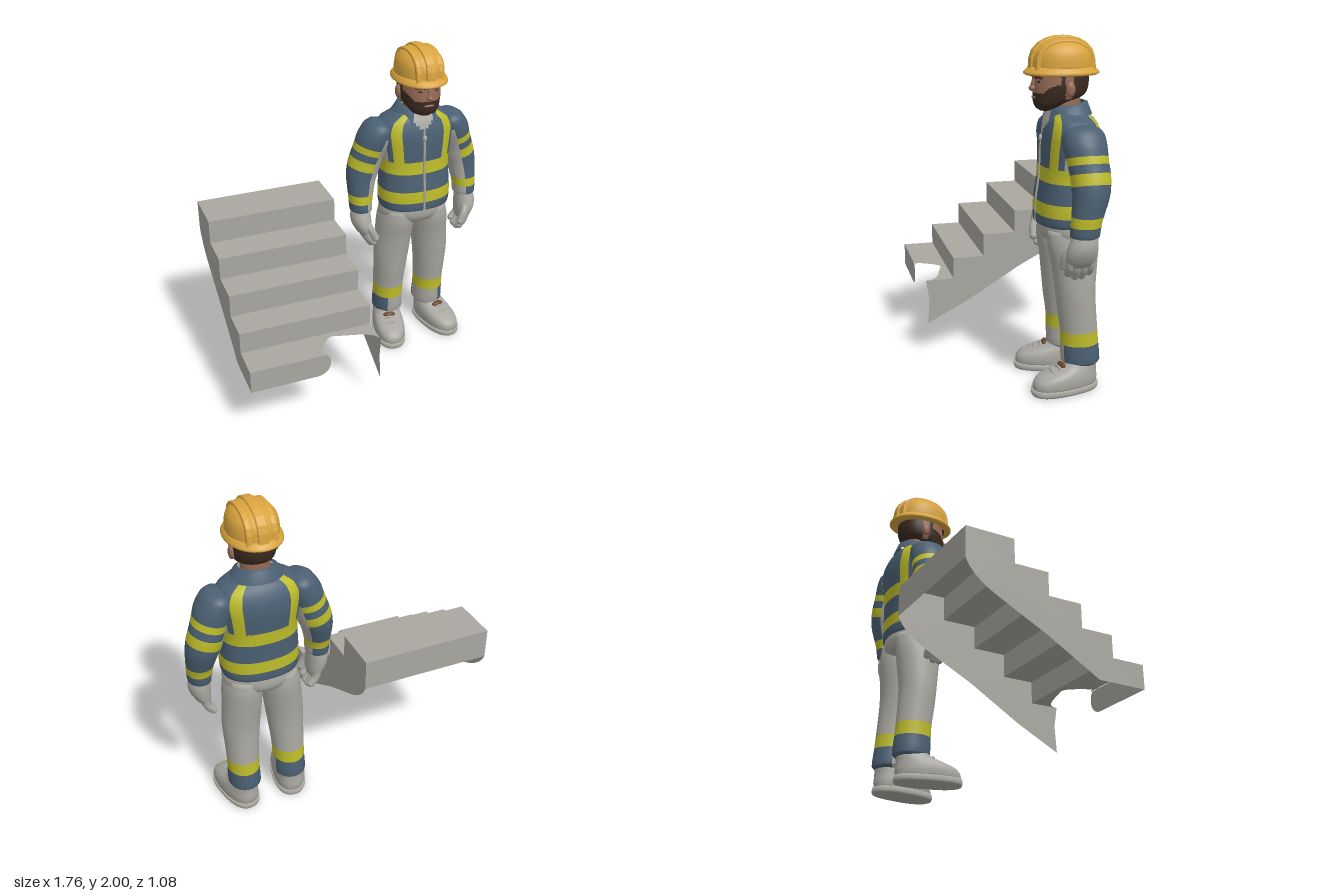
import * as THREE from 'three';

const mat = (name, color) => new THREE.MeshStandardMaterial({ name, color, side: THREE.DoubleSide });

export function createModel() {
  const M = {
    grey: mat('pale grey', 0xa9a7a0), blue: mat('work blue', 0x4b6073), lime: mat('reflective lime', 0xbdbc2a),
    gold: mat('helmet gold', 0xd9a43e), skin: mat('skin', 0x966a55), hair: mat('dark hair', 0x3b2a21),
    brown: mat('lace brown', 0x6b4527),
  };
  const model = new THREE.Group();
  model.name = 'workerAndStairs';
  const add = (parent, name, geo, m, x = 0, y = 0, z = 0) => {
    const mesh = new THREE.Mesh(geo, m);
    mesh.name = name;
    mesh.position.set(x, y, z);
    parent.add(mesh);
    return mesh;
  };

  // Stacked oval rings [y, cx, cz, rx, rz, tilt], lowest first; paint(p, cos, sin) picks a colour per face
  function loft(parent, name, rings, paint, { seg = 48, sub = 3, pow = 1, s = 1 } = {}) {
    const rows = [], at = (i, k) => rings[Math.min(Math.max(i, 0), rings.length - 1)][k] ?? 0;
    for (let i = 0; i < rings.length; i++) {
      for (let j = 0; j < (i < rings.length - 1 ? sub : 1); j++) {
        const t = j / sub;
        rows.push([0, 1, 2, 3, 4, 5].map((k) => {
          const [a, b, c, d] = [at(i - 1, k), at(i, k), at(i + 1, k), at(i + 2, k)];
          if (k === 0) return b + (c - b) * t;
          return b + 0.5 * t * (c - a + t * (2 * a - 5 * b + 4 * c - d + t * (3 * (b - c) + d - a)));
        }));
      }
    }
    const cap = (r) => [r[0], r[1], r[2], 0.0005, 0.0005, 0];
    rows.unshift(cap(rows[0]));
    rows.push(cap(rows[rows.length - 1]));
    const pos = [], bend = (v) => Math.sign(v) * Math.abs(v) ** pow;
    for (const [y, cx, cz, rx, rz, tilt] of rows) {
      for (let i = 0; i < seg; i++) {
        const a = (i / seg) * Math.PI * 2, dx = rx * bend(Math.cos(a));
        pos.push(cx * s + dx, y + tilt * dx * s, cz + rz * bend(Math.sin(a)));
      }
    }
    const buckets = new Map();
    for (let j = 0; j < rows.length - 1; j++) {
      for (let i = 0; i < seg; i++) {
        const n = (i + 1) % seg, a = j * seg + i, b = j * seg + n, c = a + seg, d = b + seg;
        const ang = ((i + 0.5) / seg) * Math.PI * 2;
        const p = { x: (pos[a * 3] + pos[d * 3]) / 2, y: (rows[j][0] + rows[j + 1][0]) / 2, z: (pos[a * 3 + 2] + pos[d * 3 + 2]) / 2 };
        const m = typeof paint === 'function' ? paint(p, Math.cos(ang) * s, Math.sin(ang)) : paint;
        if (!buckets.has(m)) buckets.set(m, []);
        buckets.get(m).push(a, c, b, b, c, d);
      }
    }
    const geo = new THREE.BufferGeometry(), index = [], mats = [...buckets.keys()];
    geo.setAttribute('position', new THREE.Float32BufferAttribute(pos, 3));
    mats.forEach((m, k) => {
      geo.addGroup(index.length, buckets.get(m).length, k);
      for (const v of buckets.get(m)) index.push(v);
    });
    geo.setIndex(index);
    geo.computeVertexNormals();
    return add(parent, name, geo, mats.length > 1 ? mats : mats[0]);
  }
  const tube = (parent, name, pts, r, m) => add(parent, name, new THREE.TubeGeometry(
    new THREE.CatmullRomCurve3(pts.map((p) => new THREE.Vector3(...p))), 16, r, 10), m);
  const ball = (parent, name, m, x, y, z, a, b, c) => {
    const mesh = add(parent, name, new THREE.SphereGeometry(1, 20, 14), m, x, y, z);
    mesh.scale.set(a, b, c);
    return mesh;
  };
  const between = (v, lo, hi) => v > lo && v < hi;

  // ---- Stairs: thin shell, open underneath ----
  const stairs = new THREE.Group();
  stairs.name = 'stairs';
  model.add(stairs);
  const x0 = -0.855, x1 = -0.055, mid = (x0 + x1) / 2, width = x1 - x0;
  const zs = [0.54, 0.345, 0.155, -0.045, -0.25, -0.54], ys = [0.48, 0.612, 0.752, 0.89, 1.035];
  const sheet = (name, w, h, y, z, flat) => {
    const g = new THREE.PlaneGeometry(w, h);
    if (flat) g.rotateX(-Math.PI / 2);
    add(stairs, name, g, M.grey, mid, y, z);
  };
  for (let i = 1; i < 5; i++) {
    sheet('tread', width, zs[i] - zs[i + 1], ys[i], (zs[i] + zs[i + 1]) / 2, true);
    sheet('riser', width, ys[i] - ys[i - 1], (ys[i] + ys[i - 1]) / 2, zs[i]);
  }
  sheet('backPanel', width, 0.185, 0.9425, -0.54);
  // Lowest tread and riser are partly cut away
  const bite = new THREE.Shape();
  bite.moveTo(x0, 0.345); bite.lineTo(x1, 0.345); bite.lineTo(x1, 0.515);
  bite.bezierCurveTo(-0.06, 0.43, -0.2, 0.42, -0.30, 0.385);
  bite.bezierCurveTo(-0.35, 0.37, -0.39, 0.46, -0.42, 0.52);
  bite.lineTo(-0.38, 0.535); bite.lineTo(x0, 0.54);
  add(stairs, 'lowestTread', new THREE.ShapeGeometry(bite).rotateX(Math.PI / 2), M.grey, 0, 0.48, 0);
  const lip = new THREE.Shape();
  lip.moveTo(x0, 0.34); lip.lineTo(-0.45, 0.34);
  lip.bezierCurveTo(-0.36, 0.35, -0.36, 0.46, -0.40, 0.48); lip.lineTo(x0, 0.48);
  add(stairs, 'lowestRiser', new THREE.ShapeGeometry(lip), M.grey, 0, 0, 0.54);
  // Stepped side panels
  for (const [x, foot] of [[x0, [[0.25, 0.34], [0.54, 0.34], [0.54, 0.48]]], [x1, [[0.25, 0.335], [0.51, 0.2], [0.5, 0.36], [0.52, 0.48]]]]) {
    const sh = new THREE.Shape();
    sh.moveTo(-0.54, 1.035); sh.lineTo(-0.54, 0.85);
    sh.quadraticCurveTo(-0.5, 0.75, -0.34, 0.67);
    sh.lineTo(-0.07, 0.53);
    for (const p of foot) sh.lineTo(...p);
    for (let i = 1; i < 5; i++) { sh.lineTo(zs[i], ys[i - 1]); sh.lineTo(zs[i], ys[i]); }
    add(stairs, 'sidePanel', new THREE.ShapeGeometry(sh).rotateY(-Math.PI / 2), M.grey, x, 0, 0);
  }

  // ---- Worker ----
  const man = new THREE.Group();
  man.name = 'worker';
  man.position.x = 0.465;
  model.add(man);

  loft(man, 'trouserHips', [[0.84, 0, -0.215, 0.1, 0.08], [0.87, 0, -0.215, 0.19, 0.14], [0.92, 0, -0.213, 0.228, 0.16],
    [0.99, 0, -0.21, 0.215, 0.155]], M.grey);
  loft(man, 'jacket', [[0.955, 0, -0.205, 0.2, 0.15], [0.965, 0, -0.203, 0.224, 0.17], [1.02, 0, -0.203, 0.231, 0.172],
    [1.095, 0, -0.205, 0.229, 0.17], [1.21, 0, -0.213, 0.222, 0.163], [1.29, 0, -0.218, 0.226, 0.163],
    [1.4, 0, -0.224, 0.242, 0.167], [1.48, 0, -0.224, 0.25, 0.158], [1.54, 0, -0.22, 0.22, 0.137],
    [1.58, 0, -0.21, 0.15, 0.11], [1.61, 0, -0.2, 0.095, 0.09]], (p, c, sn) => {
    const side = Math.atan2(Math.abs(sn), Math.abs(c)) * 180 / Math.PI;
    if (between(p.y, 1.02, 1.095) || between(p.y, 1.21, 1.29)) return M.lime;
    if (p.y > 1.29 && between(side, 40, 60)) return M.lime;
    if (between(p.y, 1.29, 1.46) && side < 28) return M.grey;
    return p.y > 1.49 && sn > 0 && Math.abs(p.x) < (p.y - 1.47) * 0.8 ? M.grey : M.blue;
  }, { seg: 144, pow: 0.86 });
  tube(man, 'zip', [[0, 0.965, -0.033], [0, 1.1, -0.035], [0, 1.25, -0.053], [0, 1.4, -0.058], [0, 1.5, -0.073]], 0.008, M.grey);
  ball(man, 'zipPull', M.grey, 0, 1.44, -0.058, 0.014, 0.022, 0.012);

  // Collar, open at the front with drooping points
  const collarPos = [], collarIdx = [], n = 40;
  for (let i = 0; i <= n; i++) {
    const a = 0.5 + (i / n) * (Math.PI * 2 - 1), f = (1 + Math.cos(a)) / 2;
    for (const [rx, rz, y] of [[0.096, 0.1, 1.645 - 0.03 * f], [0.12, 0.118, 1.64 - 0.045 * f], [0.165 - 0.02 * f, 0.142, 1.575 - 0.06 * f ** 3]])
      collarPos.push(Math.sin(a) * rx, y, -0.203 + Math.cos(a) * rz);
    if (i < n) for (let k = 0; k < 2; k++) {
      const p = i * 3 + k;
      collarIdx.push(p, p + 1, p + 3, p + 3, p + 1, p + 4);
    }
  }
  const collar = new THREE.BufferGeometry();
  collar.setAttribute('position', new THREE.Float32BufferAttribute(collarPos, 3));
  collar.setIndex(collarIdx);
  collar.computeVertexNormals();
  add(man, 'collar', collar, M.blue);

  for (const s of [1, -1]) {
    const side = s > 0 ? 'left' : 'right';
    // Sleeve with grey inner side and reflective bands
    loft(man, side + 'Sleeve', [[0.955, 0.36, -0.205, 0.055, 0.06], [0.965, 0.36, -0.205, 0.069, 0.08], [1.02, 0.36, -0.21, 0.073, 0.083],
      [1.075, 0.356, -0.22, 0.079, 0.088], [1.17, 0.345, -0.24, 0.092, 0.1, 0.12], [1.23, 0.33, -0.245, 0.096, 0.107, 0.28],
      [1.29, 0.312, -0.245, 0.095, 0.11, 0.3], [1.335, 0.297, -0.24, 0.094, 0.112, 0.3], [1.375, 0.283, -0.235, 0.095, 0.115, 0.3],
      [1.43, 0.262, -0.23, 0.097, 0.12, 0.3], [1.49, 0.236, -0.228, 0.085, 0.115, 0.3], [1.52, 0.22, -0.228, 0.063, 0.09, 0.3],
      [1.535, 0.21, -0.228, 0.03, 0.04, 0.3]], (p, c, sn) => {
      if (between(p.y, 1.02, 1.075)) return M.lime;
      if (p.y < 1.45 && c < -0.3 && sn > -0.75) return M.grey;
      return between(p.y, 1.23, 1.29) || between(p.y, 1.335, 1.375) ? M.lime : M.blue;
    }, { s });
    // Glove
    loft(man, side + 'Glove', [[0.79, 0.338, -0.188, 0.03, 0.06], [0.82, 0.348, -0.188, 0.046, 0.08], [0.87, 0.36, -0.19, 0.06, 0.086],
      [0.92, 0.365, -0.197, 0.063, 0.08], [0.98, 0.36, -0.205, 0.055, 0.065]], M.grey, { s, seg: 32 });
    for (let i = 0; i < 4; i++) {
      const z = -0.247 + i * 0.039, drop = i === 0 || i === 3 ? 0.02 : 0;
      tube(man, side + 'Finger', [[s * 0.352, 0.85, z], [s * 0.338, 0.78 + drop / 2, z], [s * 0.305, 0.73 + drop, z]], 0.024, M.grey);
      ball(man, side + 'Fingertip', M.grey, s * 0.305, 0.73 + drop, z, 0.024, 0.024, 0.024);
    }
    tube(man, side + 'Thumb', [[s * 0.355, 0.9, -0.15], [s * 0.325, 0.845, -0.112], [s * 0.3, 0.79, -0.105]], 0.025, M.grey);
    ball(man, side + 'Thumbtip', M.grey, s * 0.3, 0.79, -0.105, 0.025, 0.025, 0.025);

    // Trouser leg with banded cuff
    loft(man, side + 'TrouserLeg', [[0.15, 0.147, -0.262, 0.085, 0.095], [0.17, 0.147, -0.262, 0.098, 0.113], [0.275, 0.147, -0.255, 0.096, 0.11],
      [0.355, 0.146, -0.25, 0.098, 0.108], [0.48, 0.143, -0.236, 0.105, 0.112], [0.6, 0.138, -0.227, 0.114, 0.116],
      [0.75, 0.125, -0.224, 0.117, 0.132], [0.86, 0.117, -0.218, 0.114, 0.147], [0.94, 0.112, -0.215, 0.1, 0.14]], (p, c, sn) => {
      if (between(p.y, 0.275, 0.355)) return M.lime;
      return p.y < 0.275 && (c > 0.35 || sn < -0.3) ? M.blue : M.grey;
    }, { s });

    // Boot, toes turned out
    const boot = new THREE.Group();
    boot.name = side + 'Boot';
    boot.position.set(s * 0.155, 0, -0.26);
    boot.rotation.y = s * 0.2;
    man.add(boot);
    loft(boot, side + 'Sole', [[0, 0, 0.1, 0.096, 0.2], [0.012, 0, 0.1, 0.103, 0.205], [0.038, 0, 0.1, 0.102, 0.203]], M.grey, { pow: 0.8, sub: 1 });
    loft(boot, side + 'BootUpper', [[0.035, 0, 0.1, 0.096, 0.195], [0.07, 0, 0.097, 0.1, 0.195], [0.1, 0, 0.085, 0.098, 0.18],
      [0.125, 0, 0.056, 0.092, 0.149], [0.145, 0, 0.025, 0.085, 0.118], [0.17, 0, 0.005, 0.077, 0.098], [0.2, 0, 0, 0.07, 0.085]], M.grey, { pow: 0.85 });
    ball(boot, side + 'BootTongue', M.brown, 0, 0.15, 0.118, 0.042, 0.02, 0.02);
    for (const [y, z] of [[0.15, 0.145], [0.134, 0.185]])
      tube(boot, side + 'Lace', [[-0.055, y - 0.02, z - 0.01], [0, y, z], [0.055, y - 0.02, z - 0.01]], 0.008, M.grey);
  }

  // ---- Head ----
  add(man, 'neck', new THREE.CylinderGeometry(0.08, 0.086, 0.17, 28), M.skin, 0, 1.595, -0.2);
  loft(man, 'head', [[1.595, 0, -0.08, 0.035, 0.03], [1.61, 0, -0.088, 0.07, 0.058], [1.64, 0, -0.109, 0.096, 0.091],
    [1.67, 0, -0.15, 0.112, 0.135], [1.7, 0, -0.165, 0.12, 0.15], [1.75, 0, -0.172, 0.123, 0.153], [1.85, 0, -0.175, 0.118, 0.145]],
  (p) => {
    if (p.z < -0.205 || between(p.z, -0.165, -0.135)) return M.hair;
    if (p.z < -0.165) return p.y < 1.66 ? M.hair : M.skin;
    return p.y < 1.697 + Math.max(0, Math.abs(p.x) - 0.08) * 1.2 ? M.hair : M.skin;
  }, { seg: 96, sub: 6, pow: 0.92 });
  ball(man, 'nose', M.skin, 0, 1.718, -0.014, 0.02, 0.018, 0.025);
  tube(man, 'noseBridge', [[0, 1.775, -0.022], [0, 1.745, -0.014], [0, 1.72, -0.005]], 0.012, M.skin);
  ball(man, 'mouth', M.skin, 0, 1.668, -0.016, 0.034, 0.007, 0.008);
  for (const s of [1, -1]) {
    ball(man, 'eye', M.hair, s * 0.05, 1.757, -0.032, 0.015, 0.007, 0.007);
    tube(man, 'eyebrow', [[s * 0.024, 1.776, -0.019], [s * 0.05, 1.782, -0.027], [s * 0.078, 1.776, -0.046]], 0.007, M.hair);
    ball(man, 'ear', M.skin, s * 0.126, 1.72, -0.188, 0.017, 0.042, 0.027);
  }

  // ---- Hard hat: brim, dome and three crests ----
  loft(man, 'helmetBrim', [[1.79, 0, -0.173, 0.15, 0.2], [1.797, 0, -0.173, 0.16, 0.212], [1.812, 0, -0.173, 0.157, 0.205],
    [1.835, 0, -0.174, 0.142, 0.18]], M.gold, { sub: 2, pow: 0.95 });
  const dome = [[1.82, 0.144, 0.178], [1.88, 0.141, 0.174], [1.92, 0.131, 0.16], [1.955, 0.105, 0.128], [1.978, 0.07, 0.085], [1.988, 0.035, 0.042], [1.99, 0.01, 0.012]];
  loft(man, 'helmetDome', dome.map(([y, rx, rz]) => [y, 0, -0.175, rx, rz]), M.gold, { pow: 0.96 });
  for (const [x, w, k] of [[0, 0.036, 1.01], [0.07, 0.012, 0.91], [-0.07, 0.012, 0.91]]) {
    const pts = [...dome.map(([y, , r]) => [r, y]), ...dome.map(([y, , r]) => [-r, y]).reverse()];
    const sh = new THREE.Shape(pts.map(([z, y]) => new THREE.Vector2(z * k, (y - 1.82) * k)));
    const g = new THREE.ExtrudeGeometry(sh, { depth: w, bevelThickness: 0.012, bevelSize: 0.008, bevelOffset: 0, bevelSegments: 3 });
    g.translate(0, 0, -w / 2).rotateY(-Math.PI / 2);
    add(man, 'helmetCrest', g, M.gold, x, 1.82, -0.175);
  }
  return model;
}
